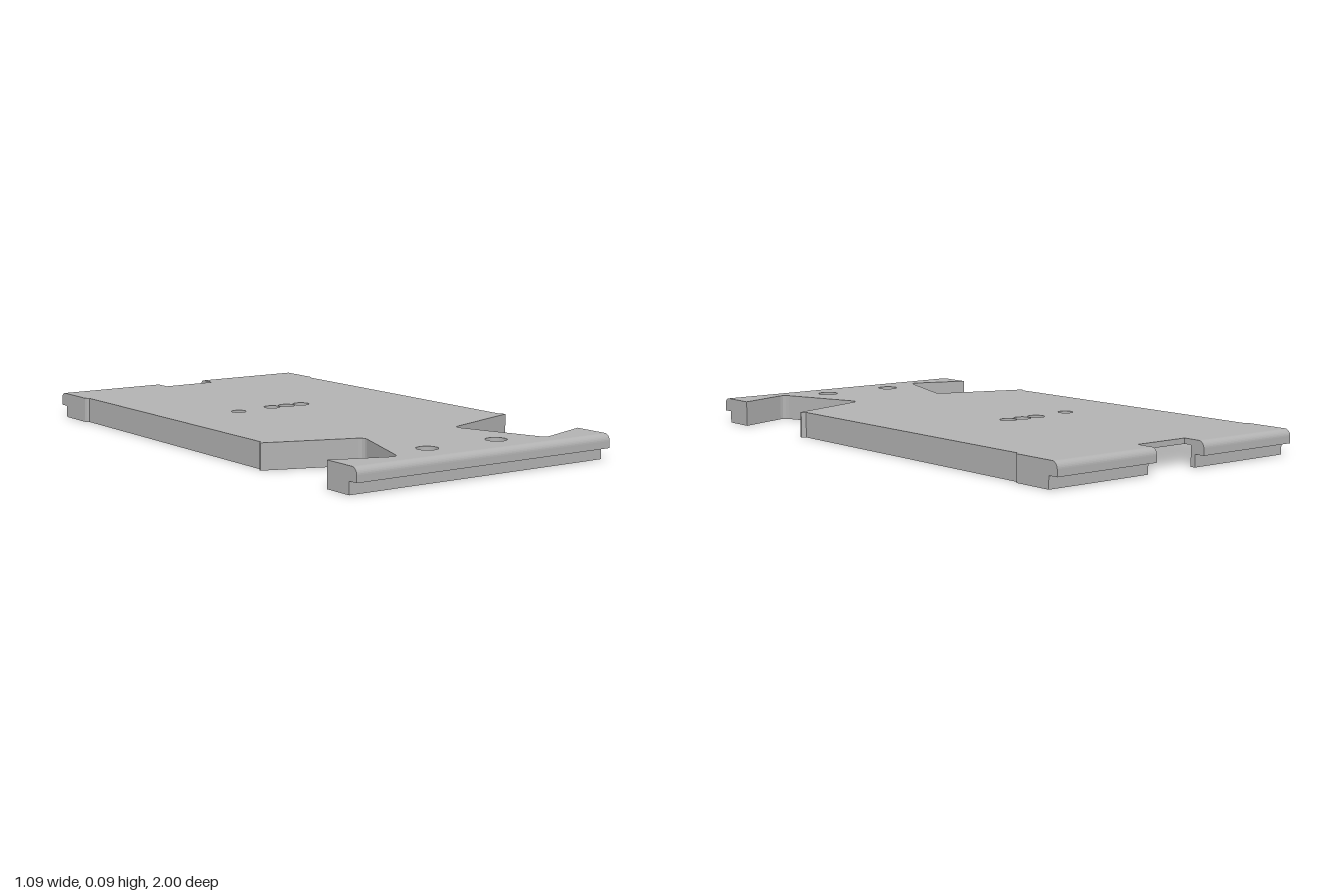
import * as THREE from 'three';

const TOP = 0.095, SKIN = 0.02, HALF = 0.545, RAIL = 0.94;

// Outer edge of the left side, running from back to front as [x, z]
const outer = [
  [0.545, -RAIL], [0.545, -0.805], [0.54, -0.797], [0.532, -0.792],
  [0.532, 0.437], [0.545, 0.45], [0.545, 0.456],
  [0.22, 0.569], [0.209, 0.577], [0.205, 0.588], [0.206, 0.6],
  [0.312, 0.897], [0.319, 0.909], [0.33, 0.915], [0.342, 0.914],
  [0.545, 0.84], [0.545, RAIL],
];
// Inner face of the same wall
const inner = [
  [0.525, -RAIL], [0.525, -0.81], [0.512, -0.79], [0.512, 0.447],
  [0.212, 0.551], [0.19, 0.568], [0.185, 0.595],
  [0.309, RAIL], [0.333, RAIL], [0.525, 0.868], [0.525, RAIL],
];

const mirror = (points) => points.map(([x, z]) => [-x, z]);
const toShape = (points) => new THREE.Shape(points.map(([x, z]) => new THREE.Vector2(x, z)));

// Extrudes an [x, z] shape downwards from the given height
function slab(shape, top, depth) {
  const geometry = new THREE.ExtrudeGeometry(shape, { depth, bevelEnabled: false, curveSegments: 16 });
  return geometry.rotateX(Math.PI / 2).translate(0, top, 0);
}

// End wall with an overhanging, rounded lip, running along x
function rail(x0, x1, front) {
  const r = 0.025;
  const profile = new THREE.Shape();
  profile.moveTo(RAIL, 0);
  profile.lineTo(0.96, 0);
  profile.lineTo(0.96, 0.045);
  profile.lineTo(1, 0.045);
  profile.lineTo(1, TOP - r);
  profile.absarc(1 - r, TOP - r, r, 0, Math.PI / 2, false);
  profile.lineTo(RAIL, TOP);
  const geometry = new THREE.ExtrudeGeometry(profile, { depth: x1 - x0, bevelEnabled: false, curveSegments: 4 });
  geometry.rotateY(front ? -Math.PI / 2 : Math.PI / 2);
  return geometry.translate(front ? x1 : x0, 0, 0);
}

export function createModel() {
  const group = new THREE.Group();
  const grey = new THREE.MeshStandardMaterial({ color: 0xb2b2b2 });
  grey.name = 'grey';
  const add = (name, geometry) => {
    const mesh = new THREE.Mesh(geometry, grey);
    mesh.name = name;
    group.add(mesh);
    return mesh;
  };

  // Top plate with back notch and round holes
  const notch = [[-0.11, -RAIL], [-0.11, -0.91], [0.11, -0.91], [0.11, -RAIL]];
  const plate = toShape([...notch, ...outer, ...mirror(outer).reverse()]);
  const holes = [
    [-0.23, -0.17, 0.028], [-0.067, -0.19, 0.031], [0, -0.19, 0.031], [0.067, -0.19, 0.031],
    [-0.15, 0.857, 0.038], [0.15, 0.857, 0.038],
  ];
  for (const [x, z, r] of holes) {
    plate.holes.push(new THREE.Path().absarc(x, z, r, 0, Math.PI * 2, true));
  }
  add('topPlate', slab(plate, TOP, SKIN));

  // Side walls below the plate
  const wall = [...outer, ...[...inner].reverse()];
  add('leftWall', slab(toShape(wall), TOP - SKIN, TOP - SKIN));
  add('rightWall', slab(toShape(mirror(wall)), TOP - SKIN, TOP - SKIN));

  // Front lip, and back lip split by the notch
  add('frontLip', rail(-HALF, HALF, true));
  add('backLipLeft', rail(0.11, HALF, false));
  add('backLipRight', rail(-HALF, -0.11, false));

  // Hollow screw posts with a counterbore at the top
  const bore = [
    [0.022, 0], [0.042, 0], [0.042, TOP - SKIN], [0.038, TOP - SKIN],
    [0.038, 0.065], [0.022, 0.065], [0.022, 0],
  ];
  for (const side of [1, -1]) {
    // Each straight run gets its own points so that the edges stay sharp
    const post = new THREE.Group();
    post.name = side > 0 ? 'leftScrewPost' : 'rightScrewPost';
    for (let i = 0; i < bore.length - 1; i++) {
      const run = [bore[i], bore[i + 1]].map(([r, y]) => new THREE.Vector2(r, y));
      const mesh = new THREE.Mesh(new THREE.LatheGeometry(run, 28), grey);
      mesh.name = 'postFace';
      post.add(mesh);
    }
    post.position.set(side * 0.15, 0, 0.857);
    group.add(post);
  }
  return group;
}
